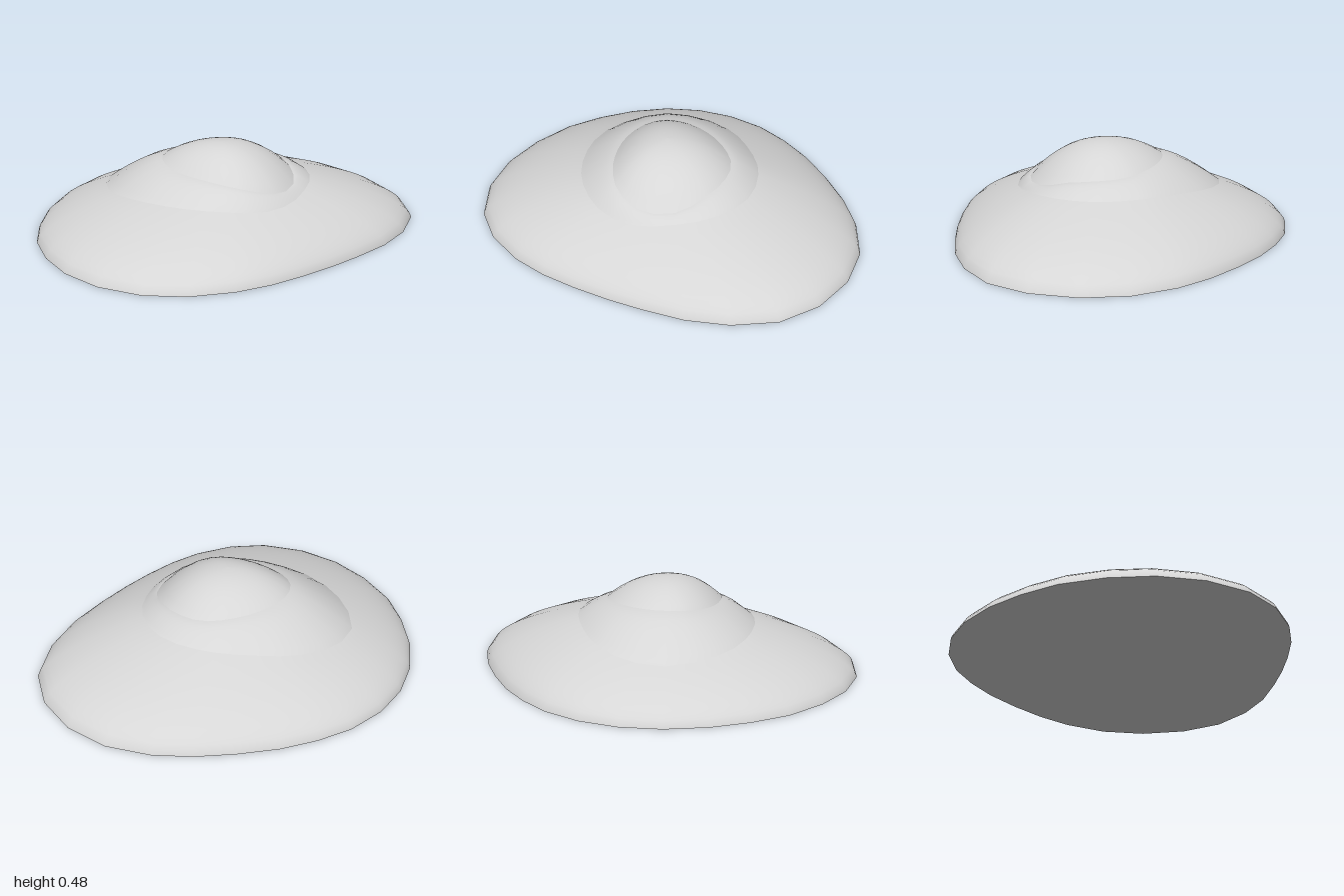
import * as THREE from 'three';

// Outline of the base edge, [x, z], clockwise from above
const rim = [
  [0.2, -1], [0.44, -0.98], [0.66, -0.88], [0.84, -0.71], [0.945, -0.5], [0.957, -0.26], [0.91, -0.04],
  [0.82, 0.17], [0.74, 0.33], [0.64, 0.5], [0.53, 0.66], [0.4, 0.8], [0.21, 0.93], [0, 0.995],
  [-0.24, 0.98], [-0.46, 0.89], [-0.64, 0.75], [-0.79, 0.57], [-0.88, 0.38], [-0.94, 0.18], [-0.96, -0.04],
  [-0.93, -0.25], [-0.85, -0.44], [-0.72, -0.61], [-0.57, -0.73], [-0.4, -0.83], [-0.2, -0.91], [0, -0.97],
].map(([x, z]) => new THREE.Vector3(x, 0, z));

// Creases where one mound meets the next, [x, y, z]
const middleCrease = [
  [0.475, 0.25, 0], [0.465, 0.265, -0.15], [0.4, 0.272, -0.3], [0.27, 0.275, -0.42], [0.05, 0.275, -0.48],
  [-0.18, 0.26, -0.45], [-0.4, 0.235, -0.37], [-0.57, 0.21, -0.22], [-0.64, 0.2, -0.02], [-0.58, 0.21, 0.16],
  [-0.46, 0.225, 0.31], [-0.28, 0.242, 0.41], [-0.02, 0.25, 0.46], [0.2, 0.245, 0.42], [0.36, 0.23, 0.32],
  [0.45, 0.232, 0.17],
];
const topCrease = [
  [0.42, 0.275, 0.04], [0.4, 0.295, -0.08], [0.34, 0.325, -0.18], [0.25, 0.34, -0.27], [0.1, 0.35, -0.33],
  [-0.07, 0.365, -0.29], [-0.2, 0.375, -0.2], [-0.28, 0.38, -0.09], [-0.3, 0.38, 0.03], [-0.25, 0.37, 0.14],
  [-0.13, 0.358, 0.235], [0.08, 0.345, 0.29], [0.25, 0.32, 0.27], [0.37, 0.285, 0.18],
];

const angleOf = (p) => Math.atan2(p.z, p.x);
const angles = rim.map(angleOf);

// Smooth a crease and sample it at the same angles as the rim
function sampleCrease(points) {
  const curve = new THREE.CatmullRomCurve3(points.map((p) => new THREE.Vector3(...p)), true);
  const dense = curve.getPoints(600);
  const gap = (p, a) => Math.abs(Math.atan2(Math.sin(angleOf(p) - a), Math.cos(angleOf(p) - a)));
  return angles.map((a) => dense.reduce((best, p) => (gap(p, a) < gap(best, a) ? p : best)));
}

// Curved band between two loops; spread spaces the rows, rise shapes the height
function band(name, outer, inner, rows, spread, rise, material) {
  const n = outer.length;
  const positions = [];
  const index = [];
  for (let r = 0; r <= rows; r++) {
    const t = spread(r / rows);
    for (let i = 0; i < n; i++) {
      const p = outer[i].clone().lerp(inner[i], t);
      p.y = THREE.MathUtils.lerp(outer[i].y, inner[i].y, rise(t));
      positions.push(p.x, p.y, p.z);
      if (r === rows) continue;
      const a = r * n + i;
      const b = r * n + ((i + 1) % n);
      index.push(a, a + n, b, b, a + n, b + n);
    }
  }
  const geometry = new THREE.BufferGeometry();
  geometry.setAttribute('position', new THREE.Float32BufferAttribute(positions, 3));
  geometry.setIndex(index);
  geometry.computeVertexNormals();
  const mesh = new THREE.Mesh(geometry, material);
  mesh.name = name;
  return mesh;
}

// Flat underside filling the rim, facing down
function underside(material) {
  const shape = new THREE.Shape(rim.map((p) => new THREE.Vector2(p.x, p.z)));
  const mesh = new THREE.Mesh(new THREE.ShapeGeometry(shape).rotateX(Math.PI / 2), material);
  mesh.name = 'underside';
  return mesh;
}

export function createModel() {
  const group = new THREE.Group();
  group.name = 'steppedMound';
  const grey = new THREE.MeshStandardMaterial({ color: 0xd6d6d6 });
  grey.name = 'light grey';

  const middle = sampleCrease(middleCrease);
  const top = sampleCrease(topCrease);
  const apex = rim.map(() => new THREE.Vector3(0.03, 0.48, 0));

  // Wide skirt, shoulder and rounded cap on a closed base
  group.add(
    band('lowerMound', rim, middle, 12, (u) => u ** 1.6, (t) => t ** 0.6, grey),
    band('middleMound', middle, top, 8, (u) => u, (t) => 1 - (1 - t) ** 1.4, grey),
    band('topMound', top, apex, 10, (u) => u, (t) => 1 - (1 - t) ** 2.1, grey),
    underside(grey),
  );
  return group;
}
